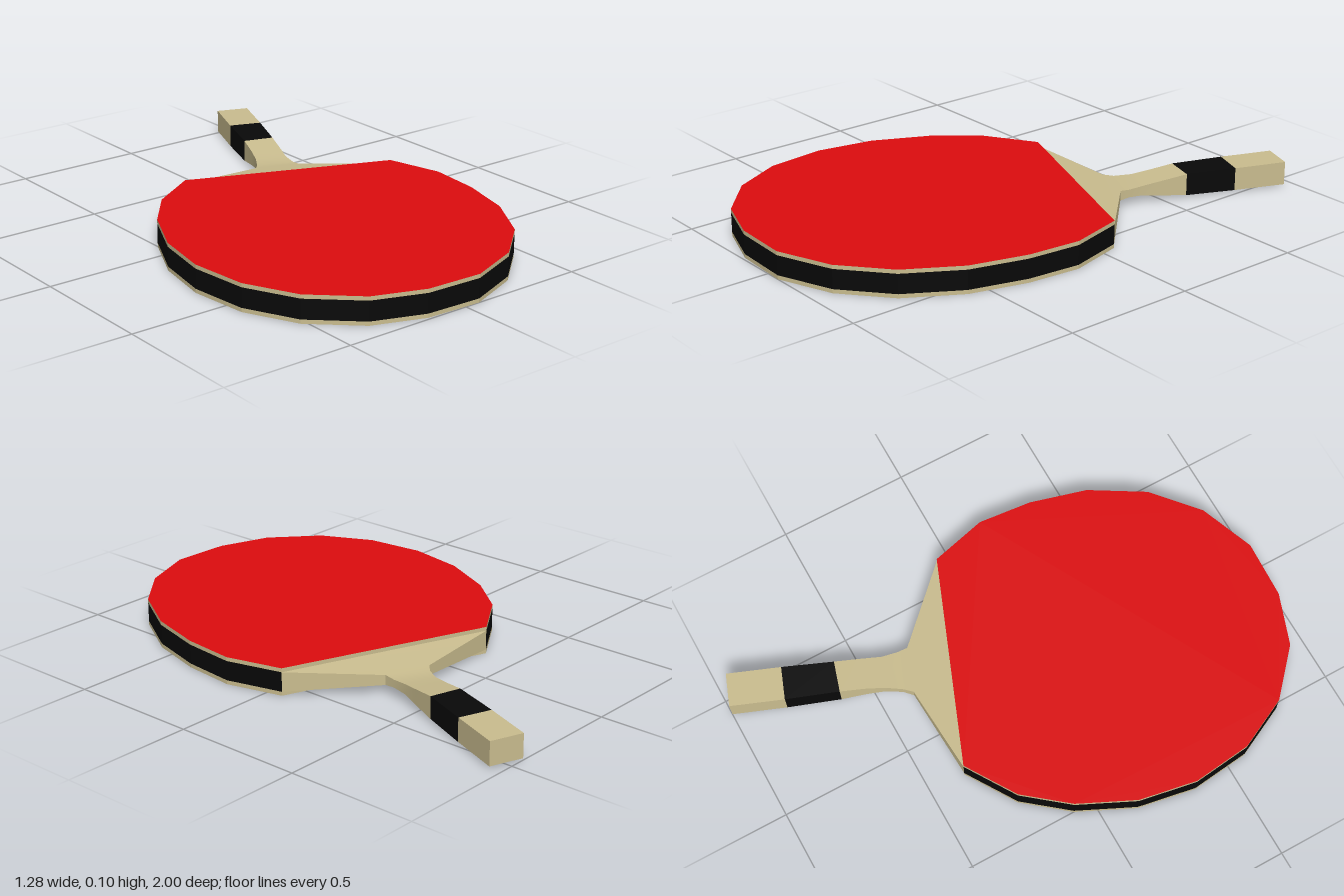
import * as THREE from 'three';
import { toCreasedNormals } from 'three/addons/utils/BufferGeometryUtils.js';

const mat = (color) => new THREE.MeshStandardMaterial({ color });
const wood = mat(0xcabd8f), red = mat(0xdd0c0e), black = mat(0x080808);
const MID = 0.052; // height of the paddle's middle plane

// Blade outline as [x, z], from the left of the straight edge round to its right
const OUTLINE = [
  [-0.18, -0.36], [-0.37, -0.24], [-0.5, -0.08], [-0.6, 0.13],
  [-0.64, 0.35], [-0.615, 0.575], [-0.52, 0.77], [-0.355, 0.92],
  [-0.16, 0.99], [0.06, 1.0], [0.27, 0.92], [0.44, 0.775],
  [0.56, 0.575], [0.62, 0.36], [0.64, 0.155], [0.585, -0.06],
];

// A slab of the blade between two heights
function bladeLayer(name, y0, y1, capMaterial, rimMaterial) {
  const shape = new THREE.Shape(OUTLINE.map(([x, z]) => new THREE.Vector2(x, -z)));
  const geo = new THREE.ExtrudeGeometry(shape, { depth: y1 - y0, bevelEnabled: false });
  geo.rotateX(-Math.PI / 2).translate(0, y0, 0);
  const mesh = new THREE.Mesh(geo, [capMaterial, rimMaterial]);
  mesh.name = name;
  return mesh;
}

// Rectangular sections [leftX, leftZ, rightX, rightZ, halfThickness] joined into a closed bar
function loft(name, sections, material) {
  const pos = [], index = [];
  for (const [lx, lz, rx, rz, h] of sections) {
    pos.push(lx, MID - h, lz, rx, MID - h, rz, rx, MID + h, rz, lx, MID + h, lz);
  }
  const last = (sections.length - 1) * 4;
  for (let a = 0; a < last; a += 4) {
    for (let i = 0; i < 4; i++) {
      const j = (i + 1) % 4;
      index.push(a + i, a + 4 + j, a + j, a + i, a + 4 + i, a + 4 + j);
    }
  }
  index.push(0, 1, 2, 0, 2, 3, last, last + 2, last + 1, last, last + 3, last + 2);
  const geo = new THREE.BufferGeometry();
  geo.setAttribute('position', new THREE.Float32BufferAttribute(pos, 3));
  geo.setIndex(index);
  const mesh = new THREE.Mesh(toCreasedNormals(geo, 0.7), material);
  mesh.name = name;
  return mesh;
}

export function createModel() {
  const model = new THREE.Group();
  model.name = 'tableTennisPaddle';

  // Blade: dark core between two thin wooden-edged faces
  model.add(
    bladeLayer('bottomFace', 0, 0.015, black, wood),
    bladeLayer('bladeCore', 0.015, 0.089, black, black),
    bladeLayer('topFace', 0.089, 0.104, red, wood),
  );

  // Neck flares to the blade and is thinnest at the throat
  const bandStart = [0.295, -0.62, 0.41, -0.585, 0.042];
  const bandEnd = [0.365, -0.81, 0.485, -0.765, 0.044];
  model.add(
    loft('neck', [
      [-0.18, -0.36, 0.585, -0.06, 0.037],
      [0.17, -0.38, 0.335, -0.32, 0.019],
      [0.2, -0.41, 0.339, -0.36, 0.015],
      [0.235, -0.465, 0.35, -0.42, 0.019],
      [0.263, -0.53, 0.376, -0.49, 0.029],
      bandStart,
    ], wood),
    loft('gripBand', [bandStart, bandEnd], black),
    loft('handleEnd', [bandEnd, [0.44, -1.0, 0.56, -0.955, 0.045]], wood),
  );
  return model;
}
